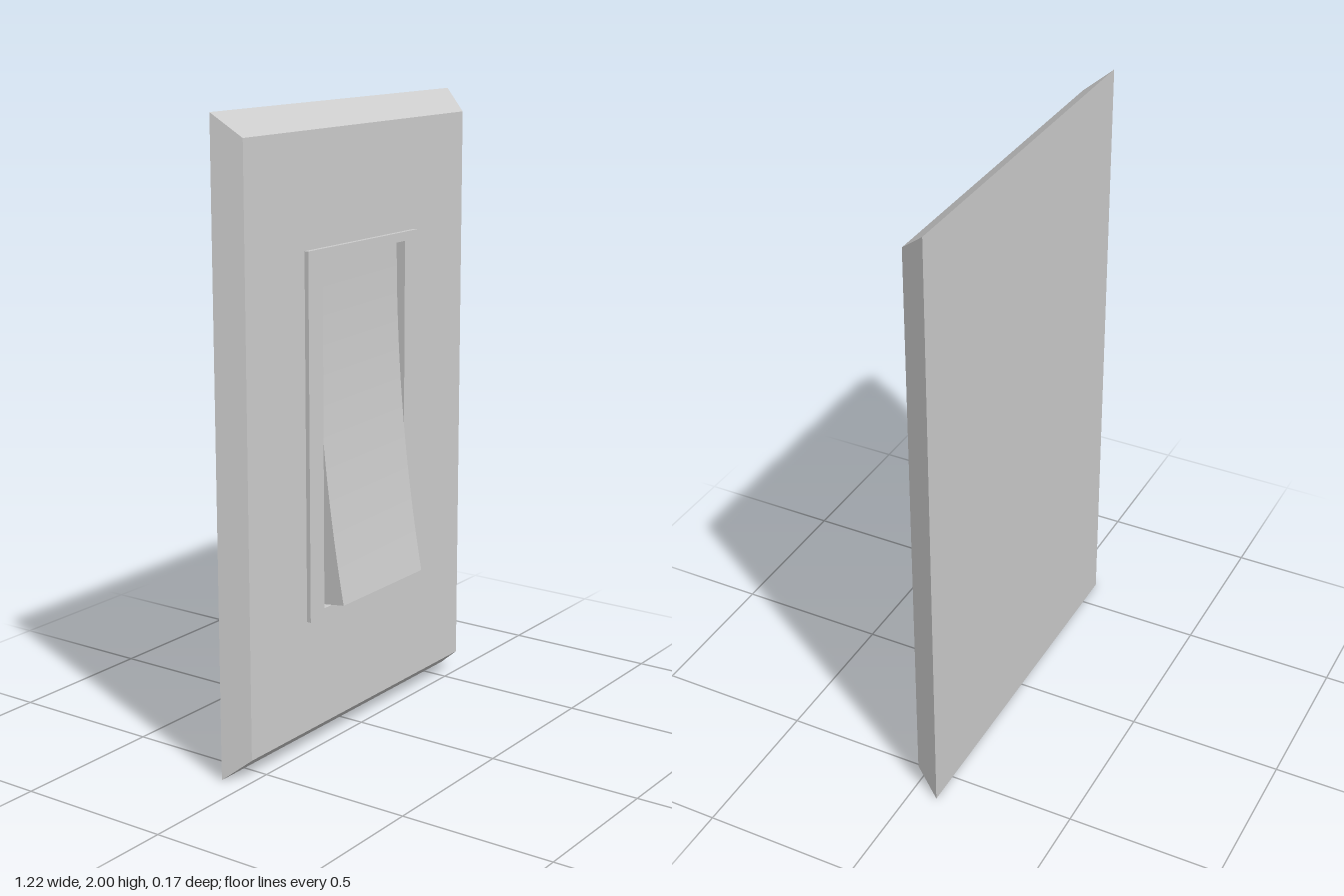
import * as THREE from 'three';
import { toCreasedNormals } from 'three/addons/utils/BufferGeometryUtils.js';

const CENTER_Y = 1.003; // middle of the rocker opening
const OPEN_W = 0.436, OPEN_H = 1.094;

// Rectangle path centred on (0, y)
function rect(PathType, w, h, y) {
  return new PathType([[-1, -1], [1, -1], [1, 1], [-1, 1]]
    .map(([sx, sy]) => new THREE.Vector2(sx * w / 2, y + sy * h / 2)));
}

// Rectangular slab with the rocker opening cut through it, from z0 to z1
function openSlab(w, h, y, z0, z1) {
  const shape = rect(THREE.Shape, w, h, y);
  shape.holes.push(rect(THREE.Path, OPEN_W, OPEN_H, CENTER_Y));
  return new THREE.ExtrudeGeometry(shape, { depth: z1 - z0, bevelEnabled: false }).translate(0, 0, z0);
}

export function createModel() {
  const group = new THREE.Group();
  const material = new THREE.MeshStandardMaterial({ color: 0xcccccc });
  const add = (name, geometry) => {
    const mesh = new THREE.Mesh(geometry, material);
    mesh.name = name;
    group.add(mesh);
  };

  // Wall plate: outer front corners are drawn inward to slope the four sides
  const plate = openSlab(1.22, 2, 1, -0.085, 0);
  const pos = plate.attributes.position;
  for (let i = 0; i < pos.count; i++) {
    const x = pos.getX(i), y = pos.getY(i);
    if (pos.getZ(i) > -0.01 && Math.abs(x) > 0.5) {
      pos.setX(i, x - Math.sign(x) * 0.04);
      pos.setY(i, y - Math.sign(y - 1) * 0.07);
    }
  }
  plate.computeVertexNormals();
  add('wallPlate', plate);

  // Solid back closing the opening
  add('backing', new THREE.BoxGeometry(OPEN_W, OPEN_H, 0.05).translate(0, CENTER_Y, -0.06));

  // Thin raised frame around the rocker
  add('rockerFrame', openSlab(0.578, 1.15, 1.004, 0, 0.014));

  // Rocker: concave side profile (z, y), extruded across the width
  const profile = [new THREE.Vector2(-0.04, 0.462)];
  const steps = 24, bottom = 0.478, top = 1.547;
  for (let i = 0; i <= steps; i++) {
    const y = bottom + (top - bottom) * i / steps;
    profile.push(new THREE.Vector2(-0.016 + 0.0895 * (top - y) ** 2, y));
  }
  profile.push(new THREE.Vector2(-0.04, top));
  const rocker = new THREE.ExtrudeGeometry(new THREE.Shape(profile), { depth: 0.432, bevelEnabled: false })
    .translate(0, 0, -0.216)
    .rotateY(-Math.PI / 2);
  add('rocker', toCreasedNormals(rocker, 0.5));

  return group;
}
